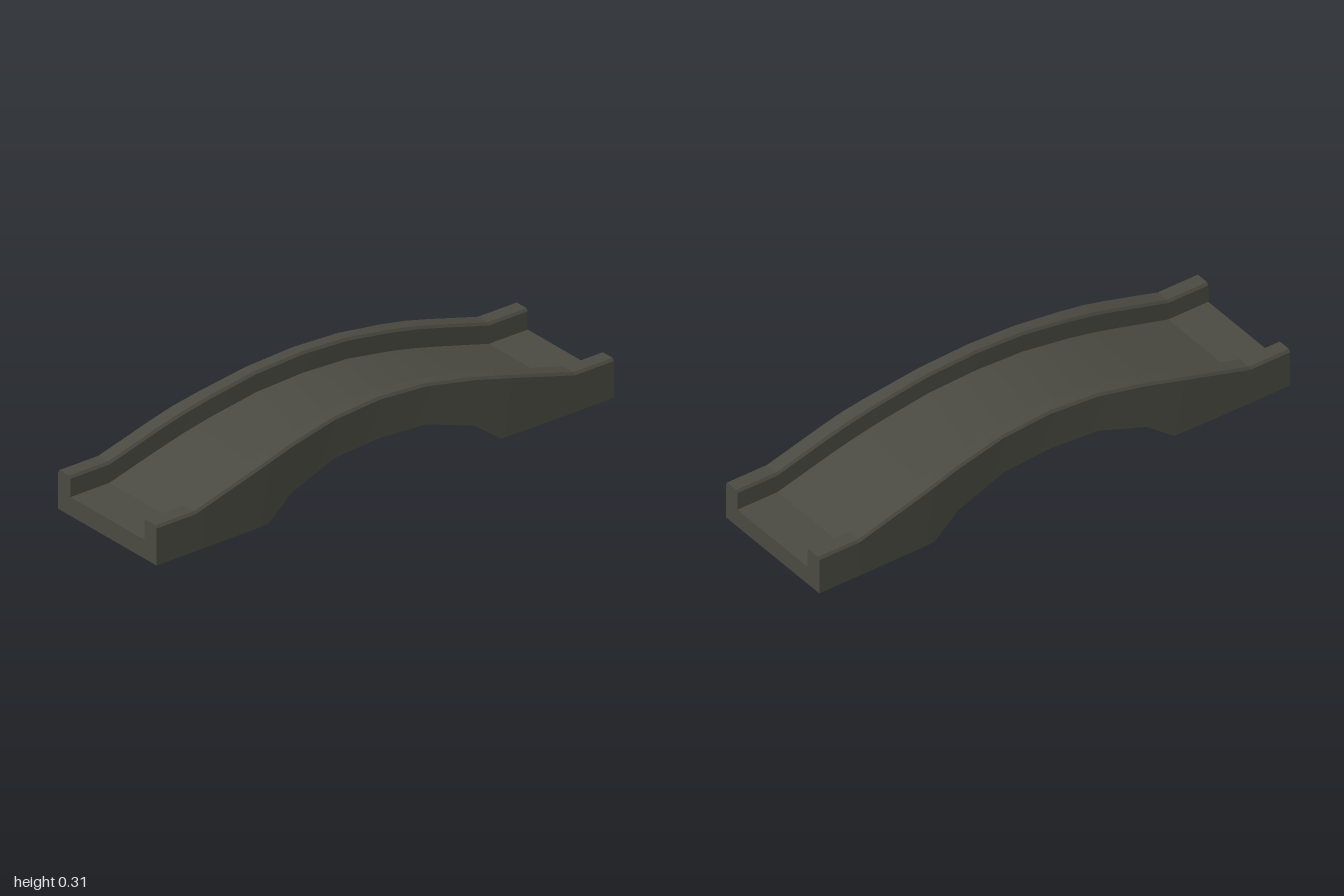
import * as THREE from 'three';
import { toCreasedNormals } from 'three/addons/utils/BufferGeometryUtils.js';

// Stations along the bridge: z, half width, inner half width, bottom, deck, rail top
const HALF = [
  [1.0, 0.27, 0.203, 0, 0.072, 0.152],
  [0.83, 0.27, 0.203, 0, 0.072, 0.152],
  [0.6, 0.269, 0.202, 0, 0.136, 0.217],
  [0.51, 0.267, 0.2, 0, 0.16, 0.241],
  [0.4, 0.258, 0.195, 0.082, 0.187, 0.267],
  [0.2, 0.246, 0.188, 0.147, 0.224, 0.303],
  [0, 0.242, 0.185, 0.158, 0.235, 0.315],
];

// U-shaped section with chamfered rail tops, counter-clockwise seen from +z
function section([z, w, i, b, d, t]) {
  const c = 0.007, e = 0.01;
  const right = [[w, b], [w, t - e], [w - c, t], [i + c, t], [i, t - e], [i, d]];
  const left = right.map(([x, y]) => [-x, y]).reverse();
  return [...right, ...left].map(([x, y]) => new THREE.Vector3(x, y, z));
}

// Skin a run of stations from front to back, optionally closing either end
function loft(stations, capFront, capBack) {
  const rings = stations.map(section);
  const pos = [];
  const tri = (...points) => points.forEach((p) => pos.push(p.x, p.y, p.z));
  for (let k = 0; k < rings.length - 1; k++) {
    const f = rings[k], r = rings[k + 1];
    for (let j = 0; j < f.length; j++) {
      const n = (j + 1) % f.length;
      tri(f[j], r[j], r[n]);
      tri(f[j], r[n], f[n]);
    }
  }
  const cap = (ring, flip) => {
    const outline = ring.map((p) => new THREE.Vector2(p.x, p.y));
    for (const [a, b, c] of THREE.ShapeUtils.triangulateShape(outline, [])) {
      if (flip) tri(ring[a], ring[c], ring[b]);
      else tri(ring[a], ring[b], ring[c]);
    }
  };
  if (capFront) cap(rings[0], false);
  if (capBack) cap(rings[rings.length - 1], true);
  const geometry = new THREE.BufferGeometry();
  geometry.setAttribute('position', new THREE.Float32BufferAttribute(pos, 3));
  return toCreasedNormals(geometry, 0.5);
}

export function createModel() {
  const group = new THREE.Group();
  group.name = 'archedBridge';
  const stone = new THREE.MeshStandardMaterial({ color: 0x4a4a42 });
  stone.name = 'dark stone';

  const back = HALF.slice(0, -1).reverse().map(([z, ...rest]) => [-z, ...rest]);
  const all = [...HALF, ...back];
  const add = (name, geometry) => {
    const mesh = new THREE.Mesh(geometry, stone);
    mesh.name = name;
    group.add(mesh);
  };

  // Flat landings meet the arched span at a crisp fold
  add('frontLanding', loft(all.slice(0, 2), true, false));
  add('archedSpan', loft(all.slice(1, -1), false, false));
  add('backLanding', loft(all.slice(-2), false, true));
  return group;
}
